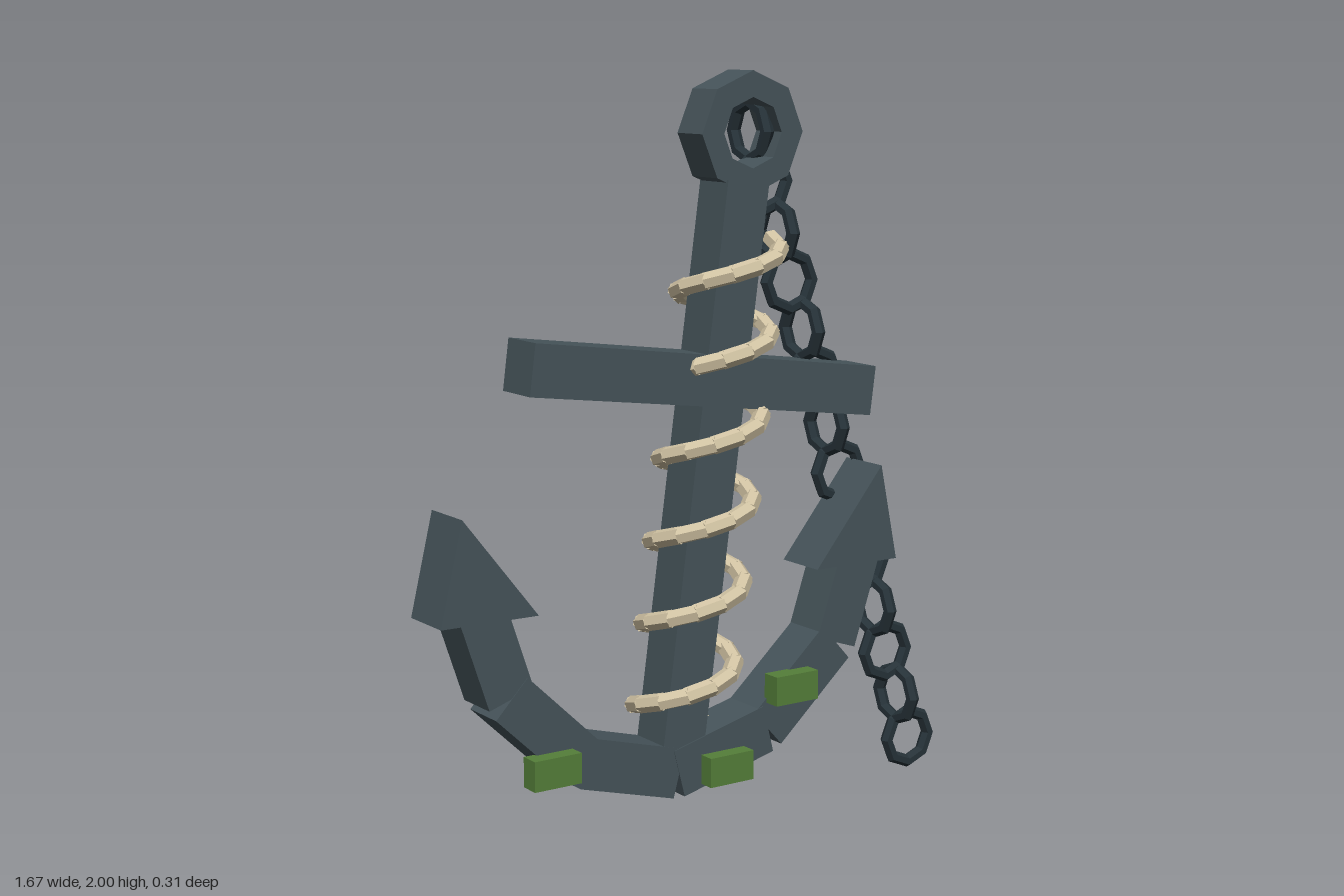
import * as THREE from 'three';

const mat = (color) => new THREE.MeshStandardMaterial({ color, flatShading: true });

export function createModel() {
  const model = new THREE.Group();
  const iron = mat(0x46545a), chainIron = mat(0x263238), hemp = mat(0xd2c4a4), weed = mat(0x557f3a);

  const add = (name, geometry, material, x = 0, y = 0, z = 0, parent = model) => {
    const mesh = new THREE.Mesh(geometry, material);
    mesh.name = name;
    mesh.position.set(x, y, z);
    parent.add(mesh);
    return mesh;
  };
  const addGroup = (name) => {
    const group = new THREE.Group();
    group.name = name;
    model.add(group);
    return group;
  };

  // Rectangular bar between two points in the xy plane
  const bar = (name, [ax, ay], [bx, by], width, depth, parent = model) => {
    const length = Math.hypot(bx - ax, by - ay);
    const mesh = add(name, new THREE.BoxGeometry(length, width, depth), iron, (ax + bx) / 2, (ay + by) / 2, 0, parent);
    mesh.rotation.z = Math.atan2(by - ay, bx - ax);
    return mesh;
  };

  // Extrusion centred on z = 0
  const slab = (shape, depth) =>
    new THREE.ExtrudeGeometry(shape, { depth, bevelEnabled: false }).translate(0, 0, -depth / 2);
  const octagon = (r) =>
    Array.from({ length: 8 }, (_, i) => new THREE.Vector2(r * Math.cos(i * Math.PI / 4), r * Math.sin(i * Math.PI / 4)));

  // Leaning shank and crossbar
  bar('shank', [-0.124, 0.19], [0.088, 1.715], 0.13, 0.126);
  bar('crossbar', [-0.565, 1.281], [0.502, 1.138], 0.134, 0.132);

  // Octagonal ring at the top
  const ring = new THREE.Shape(octagon(0.159));
  ring.holes.push(new THREE.Path(octagon(0.091)));
  add('topRing', slab(ring, 0.112), iron, 0.106, 1.841);

  // Curved arms made of straight segments
  const arms = addGroup('arms');
  const path = [[-0.715, 0.69], [-0.637, 0.458], [-0.42, 0.251], [-0.133, 0.172], [0.156, 0.246], [0.385, 0.452], [0.465, 0.69]];
  for (let i = 0; i < path.length - 1; i++) {
    bar('armSegment', path[i], path[i + 1], 0.134, 0.128 + (i % 2) * 0.003, arms);
  }

  // Wedge-shaped flukes
  const fluke = (name, points) =>
    add(name, slab(new THREE.Shape(points.map((p) => new THREE.Vector2(...p))), 0.154), iron);
  fluke('rightFluke', [[-0.839, 0.667], [-0.563, 0.665], [-0.775, 0.933]]);
  fluke('leftFluke', [[0.31, 0.667], [0.582, 0.665], [0.527, 0.931]]);

  // Seaweed patches on the front of the arms
  for (const [x, y] of [[-0.531, 0.26], [0.006, 0.172], [0.22, 0.359]]) {
    add('seaweedPatch', new THREE.BoxGeometry(0.138, 0.08, 0.055), weed, x, y, 0.083);
  }

  // Rope winding round the shank, one short cylinder per step
  const rope = addGroup('rope');
  const turns = 6, perTurn = 12;
  const ropePoint = (i) => {
    const t = Math.PI / 2 + (i / perTurn) * Math.PI * 2;
    const y = 0.25 + 1.31 * i / (turns * perTurn);
    return new THREE.Vector3(-0.043 + 0.13 * (y - 0.63) + 0.129 * Math.sin(t), y, 0.129 * Math.cos(t));
  };
  const up = new THREE.Vector3(0, 1, 0);
  for (let i = 0; i < turns * perTurn; i++) {
    const a = ropePoint(i), b = ropePoint(i + 1);
    const dir = b.clone().sub(a);
    const mid = a.clone().add(b).multiplyScalar(0.5);
    const piece = add('ropePiece', new THREE.CylinderGeometry(0.024, 0.024, dir.length() + 0.01, 6), hemp, mid.x, mid.y, mid.z, rope);
    piece.quaternion.setFromUnitVectors(up, dir.normalize());
  }

  // Chain hanging from the ring, every other link turned edge-on
  const chain = addGroup('chain');
  const linkGeometry = new THREE.TorusGeometry(0.075, 0.0185, 6, 8);
  for (let i = 0; i < 14; i++) {
    const link = add('chainLink', linkGeometry, chainIron, 0.175 + i * 0.0434, 1.841 - i * 0.1342, -0.053, chain);
    if (i % 2 === 0) link.rotation.y = Math.PI / 2;
  }

  return model;
}
